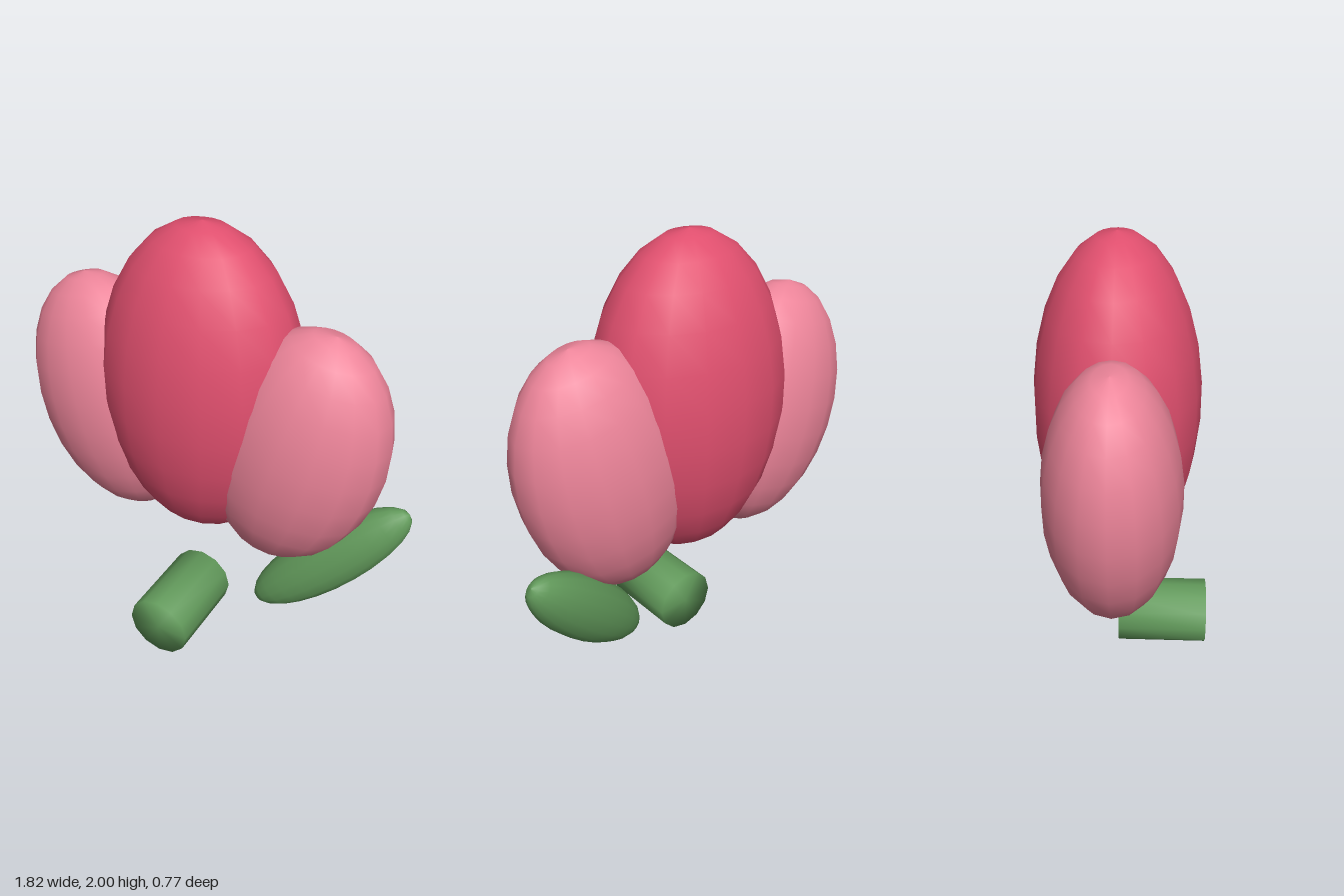
import * as THREE from 'three';
import { mergeVertices } from 'three/addons/utils/BufferGeometryUtils.js';

const material = (color) => new THREE.MeshStandardMaterial({ color });

// Unit egg along y, cut off flat near its base
function budGeometry(rows = 12, sides = 16) {
  const profile = [new THREE.Vector2(0, Math.cos(Math.PI * 0.92))];
  for (let i = rows; i >= 0; i--) {
    const t = (i / rows) * Math.PI * 0.92;
    profile.push(new THREE.Vector2(i ? Math.sin(t) : 0, Math.cos(t)));
  }
  return new THREE.LatheGeometry(profile, sides);
}

function addBud(parent, name, mat, position, radii) {
  const mesh = new THREE.Mesh(budGeometry(), mat);
  mesh.name = name;
  mesh.position.set(...position);
  mesh.scale.set(...radii);
  parent.add(mesh);
  return mesh;
}

export function createModel() {
  const flower = new THREE.Group();
  flower.name = 'flower';
  const red = material(0xe04f6e);
  const pink = material(0xec8499);
  const green = material(0x629a5b);
  const midX = -0.045;
  const midZ = -0.03;

  // Petals: one upright in the middle, a mirrored pair leaning outward
  addBud(flower, 'centrePetal', red, [midX, 1.272, midZ], [0.47, 0.728, 0.355]);
  for (const side of [1, -1]) {
    const petal = addBud(flower, side > 0 ? 'leftPetal' : 'rightPetal', pink,
      [midX + side * 0.46, 1.085, midZ], [0.395, 0.586, 0.28]);
    petal.rotation.z = -side * 0.23;
  }

  // Leaf, leaning out to the left and backward
  const leaf = addBud(flower, 'leaf', green, [0.58, 0.49, -0.102], [0.144, 0.455, 0.11]);
  const along = new THREE.Vector3(0.69, 0.71, -0.2).normalize();
  const across = new THREE.Vector3(0.71, -0.69, 0).normalize();
  const through = new THREE.Vector3().crossVectors(across, along);
  leaf.quaternion.setFromRotationMatrix(new THREE.Matrix4().makeBasis(across, along, through));

  // Stem: short rod lying front to back, shaded smoothly over its rims
  let rod = new THREE.CylinderGeometry(0.15, 0.15, 0.41, 12);
  rod.deleteAttribute('normal');
  rod.deleteAttribute('uv');
  rod = mergeVertices(rod);
  rod.computeVertexNormals();
  const stem = new THREE.Mesh(rod, green);
  stem.name = 'stem';
  stem.rotation.x = Math.PI / 2;
  stem.position.set(midX, 0.15, 0.18);
  flower.add(stem);

  return flower;
}
